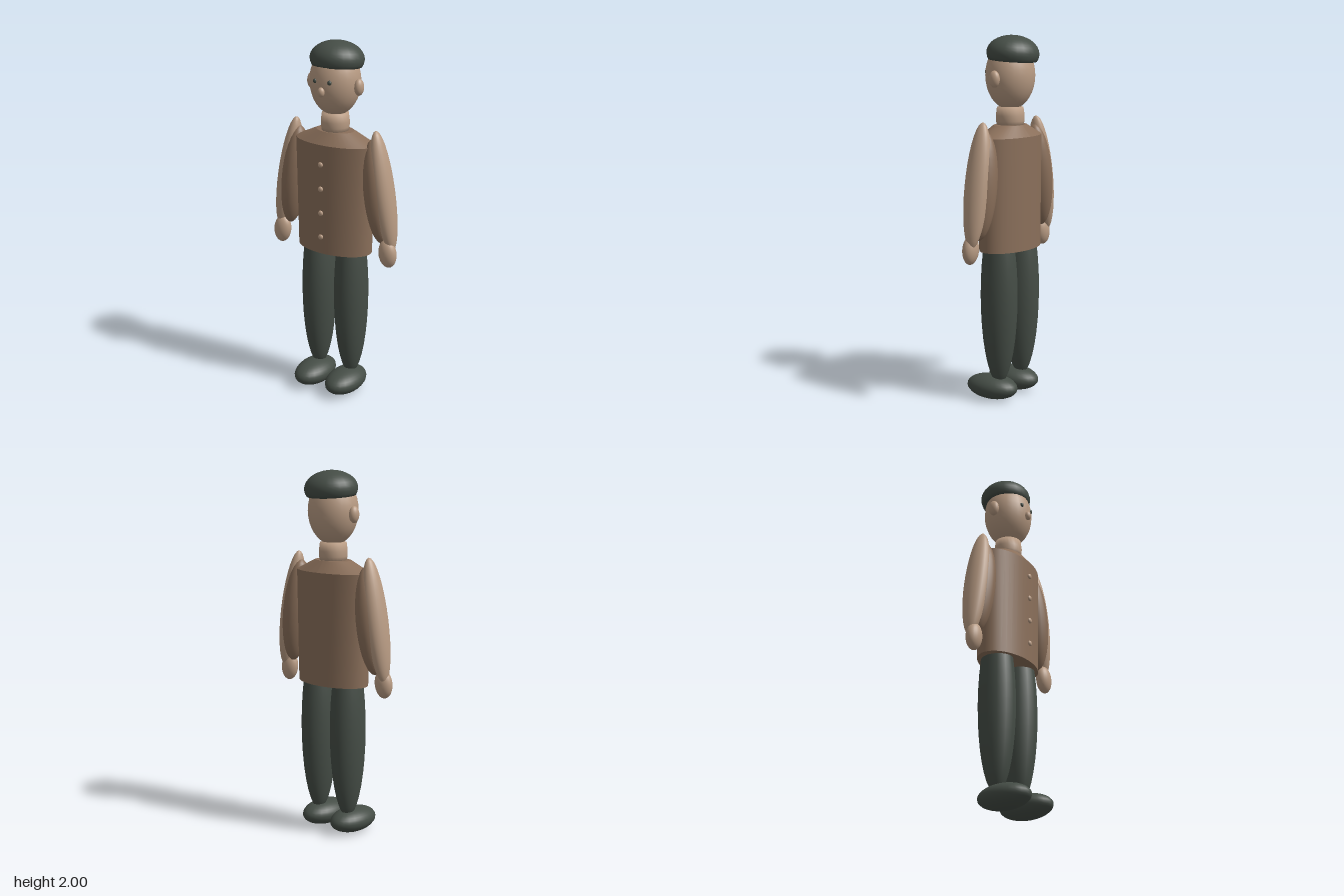
import * as THREE from 'three';

const mat = (name, color) => Object.assign(new THREE.MeshStandardMaterial({ color }), { name });

export function createModel() {
  const model = new THREE.Group();
  model.name = 'figure';
  const skin = mat('skin', 0xb89b83);
  const cloth = mat('brown cloth', 0x8a6f5a);
  const dark = mat('dark cloth', 0x454d46);
  const midZ = -0.023;

  const add = (name, geometry, material, parent = model) => {
    const mesh = new THREE.Mesh(geometry, material);
    mesh.name = name;
    parent.add(mesh);
    return mesh;
  };

  // Ellipsoid from a centre and three radii, optionally tilted about z
  const ball = (name, [x, y, z], [rx, ry, rz], material, tilt = 0) => {
    const mesh = add(name, new THREE.SphereGeometry(1, 24, 18).scale(rx, ry, rz), material);
    mesh.position.set(x, y, z);
    mesh.rotation.z = tilt;
    return mesh;
  };

  // Elliptical frustum between two rings, each given as [y, rx, rz]
  const frustum = (name, low, high, material) => {
    const geometry = new THREE.CylinderGeometry(1, 1, 1, 40, 1).rotateY(Math.PI);
    const p = geometry.attributes.position;
    for (let i = 0; i < p.count; i++) {
      const [y, rx, rz] = p.getY(i) > 0 ? high : low;
      p.setXYZ(i, p.getX(i) * rx, y, p.getZ(i) * rz);
    }
    geometry.computeVertexNormals();
    add(name, geometry, material).position.z = midZ;
  };

  // Vest: tapered body and sloping shoulders
  const hem = [0.845, 0.226, 0.133];
  const shoulder = [1.46, 0.242, 0.129];
  frustum('vestBody', hem, shoulder, cloth);
  frustum('vestShoulders', shoulder, [1.52, 0.11, 0.08], cloth);

  // Buttons down the front
  for (let i = 0; i < 4; i++) {
    ball('button', [0, 0.945 + i * 0.137, 0.12], [0.015, 0.015, 0.009], skin);
  }

  // Barrel-shaped neck
  const neckProfile = [[0, 1.51], [0.072, 1.51], [0.077, 1.54], [0.078, 1.57], [0.072, 1.615], [0, 1.625]];
  const neck = new THREE.LatheGeometry(neckProfile.map(([r, y]) => new THREE.Vector2(r, y)), 24);
  add('neck', neck, skin).position.z = midZ;

  // Head and nose
  ball('head', [0, 1.785, midZ], [0.14, 0.185, 0.133], skin);
  ball('nose', [0, 1.75, 0.112], [0.02, 0.026, 0.018], skin);

  // Cap: flattened dome with a closed base, tipped back slightly
  const capProfile = [new THREE.Vector2(0, -0.038)];
  for (let i = 0; i <= 12; i++) {
    const a = THREE.MathUtils.lerp(-0.4, Math.PI / 2, i / 12);
    capProfile.push(new THREE.Vector2(Math.max(0, Math.cos(a)), Math.sin(a) * (a < 0 ? 0.1 : 0.096)));
  }
  const cap = add('cap', new THREE.LatheGeometry(capProfile, 24).scale(0.148, 1, 0.14), dark);
  cap.position.set(0, 1.903, -0.04);
  cap.rotation.x = -0.08;

  // Paired parts, mirrored left and right
  for (const s of [1, -1]) {
    const side = s > 0 ? 'left' : 'right';
    ball(side + 'Eye', [s * 0.045, 1.803, 0.1], [0.012, 0.013, 0.01], dark);
    ball(side + 'Ear', [s * 0.149, 1.77, midZ], [0.025, 0.045, 0.031], skin);
    ball(side + 'Sleeve', [s * 0.27, 1.215, -0.026], [0.072, 0.29, 0.087], cloth, s * 0.12);
    ball(side + 'Arm', [s * 0.31, 1.22, -0.024], [0.056, 0.335, 0.07], skin, s * 0.17);
    ball(side + 'Hand', [s * 0.348, 0.883, -0.008], [0.052, 0.079, 0.04], skin, s * 0.12);
    ball(side + 'Leg', [s * 0.107, 0.59, midZ], [0.093, 0.5, 0.105], dark);
    ball(side + 'Shoe', [s * 0.105, 0.068, 0.025], [0.098, 0.068, 0.156], dark);
  }

  return model;
}
